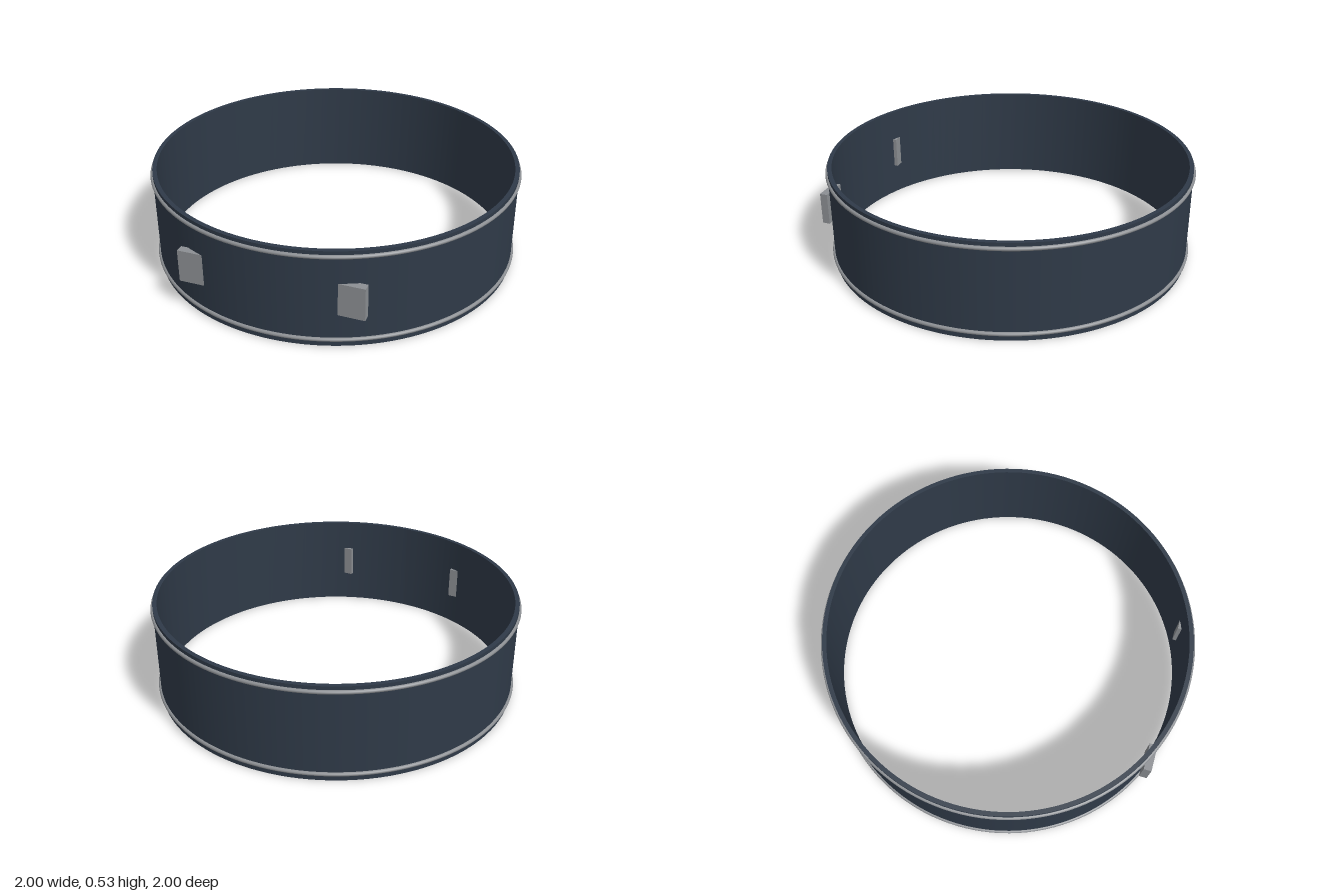
import * as THREE from 'three';

export function createModel() {
  const group = new THREE.Group();
  const navy = new THREE.MeshStandardMaterial({ color: 0x2f3a48 });
  navy.name = 'dark navy';
  const grey = new THREE.MeshStandardMaterial({ color: 0x8c8f93 });
  grey.name = 'metal grey';

  const add = (name, geometry, material, x, y, z) => {
    const mesh = new THREE.Mesh(geometry, material);
    mesh.name = name;
    mesh.position.set(x, y, z);
    group.add(mesh);
    return mesh;
  };

  const outer = 0.988, inner = 0.965, height = 0.53, segments = 128;

  // Hollow band: outer wall, inner wall and two flat rims
  add('outerWall', new THREE.CylinderGeometry(outer, outer, height, segments, 1, true), navy, 0, height / 2, 0);
  const innerWall = new THREE.CylinderGeometry(inner, inner, height, segments, 1, true);
  innerWall.scale(-1, 1, 1); // mirrored so that its faces look inward
  const index = innerWall.index;
  for (let i = 0; i < index.count; i += 3) {
    const a = index.getX(i);
    index.setX(i, a);
  }
  innerWall.computeVertexNormals();
  add('innerWall', innerWall, navy, 0, height / 2, 0);
  for (const [name, y, turn] of [['topRim', height, -1], ['bottomRim', 0, 1]]) {
    const rim = add(name, new THREE.RingGeometry(inner, outer, segments), navy, 0, y, 0);
    rim.rotation.x = turn * Math.PI / 2;
  }

  // Thin metal trim around both edges
  for (const [name, y] of [['upperTrim', 0.5], ['lowerTrim', 0.038]]) {
    const trim = add(name, new THREE.TorusGeometry(0.989, 0.011, 10, segments), grey, 0, y, 0);
    trim.rotation.x = Math.PI / 2;
  }

  // Pair of blocks set through the front of the band
  for (const [name, side] of [['leftBlock', 1], ['rightBlock', -1]]) {
    add(name, new THREE.BoxGeometry(0.144, 0.176, 0.042), grey, side * 0.412, 0.267, 0.903);
  }

  return group;
}
